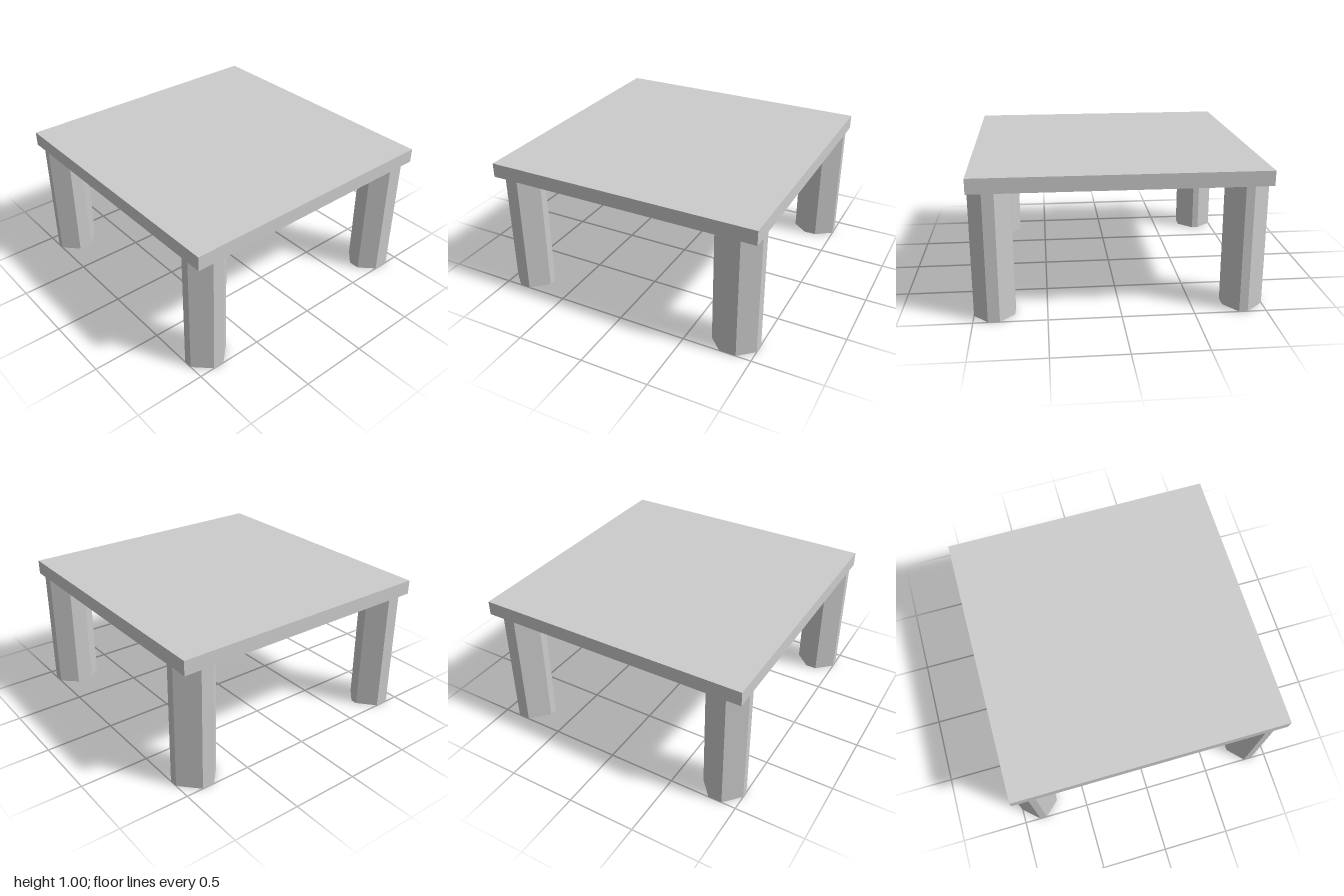
import * as THREE from 'three';

const TOP_UNDERSIDE = 0.896;

// Eight-sided leg whose widest faces lie flush with its x and z limits.
function makeLeg(name, [x0, x1, x2, x3], [z0, z1, z2, z3], material) {
  const outline = [
    [x1, z3], [x2, z3], [x3, z2], [x3, z1],
    [x2, z0], [x1, z0], [x0, z1], [x0, z2],
  ].map(([x, z]) => new THREE.Vector2(x, -z));
  const geometry = new THREE.ExtrudeGeometry(new THREE.Shape(outline), {
    depth: TOP_UNDERSIDE, bevelEnabled: false,
  });
  geometry.rotateX(-Math.PI / 2); // stand the extrusion upright
  const leg = new THREE.Mesh(geometry, material);
  leg.name = name;
  return leg;
}

export function createModel() {
  const model = new THREE.Group();
  model.name = 'table';
  const material = new THREE.MeshStandardMaterial({ color: 0xcccccc, flatShading: true });

  // Square slab top
  const thickness = 1 - TOP_UNDERSIDE;
  const top = new THREE.Mesh(new THREE.BoxGeometry(2, thickness, 2), material);
  top.position.y = 1 - thickness / 2;
  top.name = 'tableTop';
  model.add(top);

  // Four slightly irregular legs, one flush with each corner's two edges
  const legs = [
    ['frontLeftLeg', [0.67, 0.77, 0.89, 1], [0.72, 0.82, 0.9, 1]],
    ['frontRightLeg', [-1, -0.885, -0.805, -0.69], [0.72, 0.83, 0.89, 1]],
    ['backLeftLeg', [0.67, 0.785, 0.875, 1], [-1, -0.87, -0.81, -0.72]],
    ['backRightLeg', [-1, -0.895, -0.795, -0.69], [-1, -0.88, -0.83, -0.72]],
  ];
  for (const [name, xs, zs] of legs) model.add(makeLeg(name, xs, zs, material));

  return model;
}
